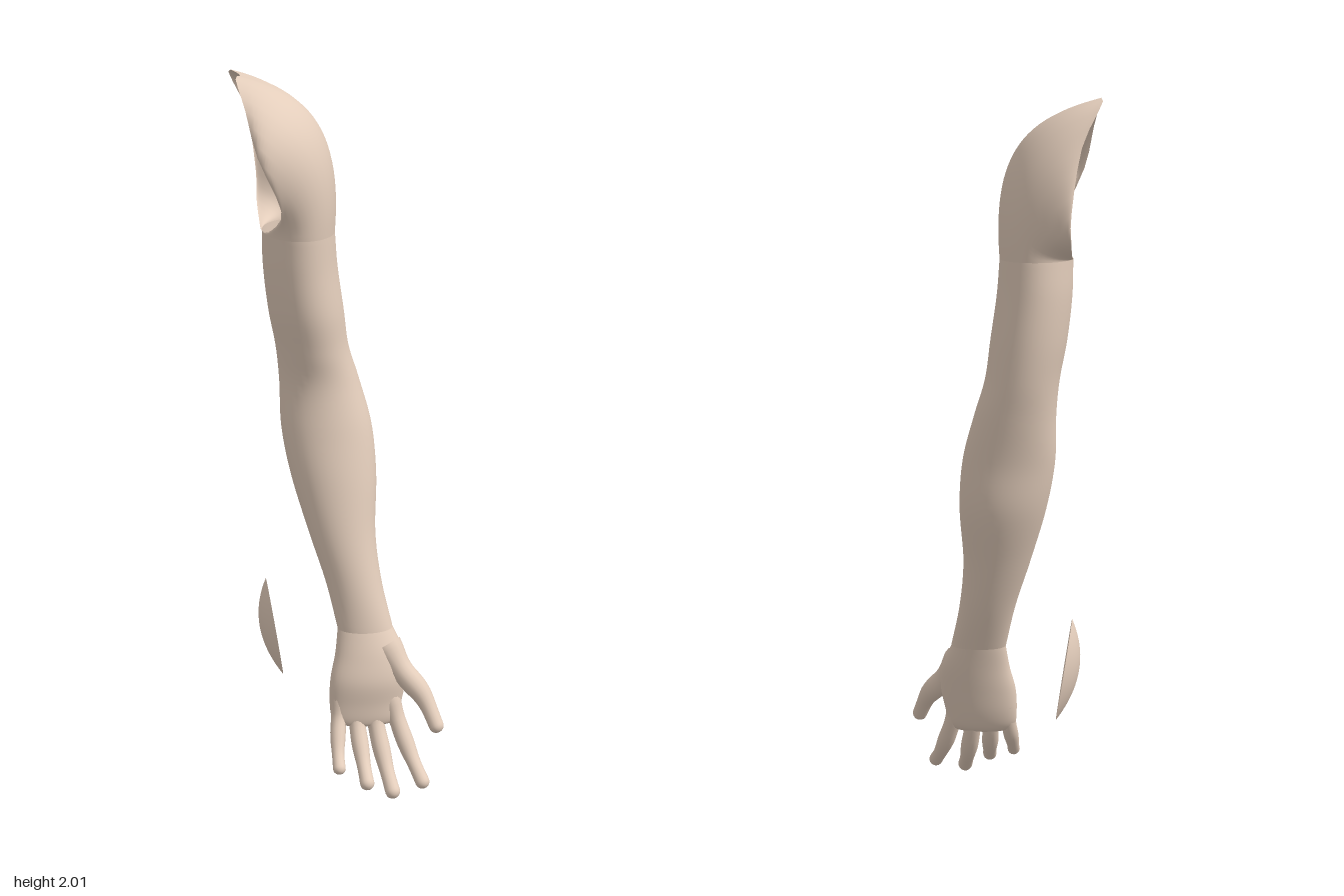
import * as THREE from 'three';

const V = (x, y, z) => new THREE.Vector3(x, y, z);
const skin = new THREE.MeshStandardMaterial({ color: 0xe3cdbb, side: THREE.DoubleSide });
const SIDES = 36;

// Skin a list of closed rings (each an array of Vector3) with smooth normals
function loft(name, rings) {
  const n = rings[0].length, pos = [], idx = [];
  for (const ring of rings) for (const p of ring) pos.push(p.x, p.y, p.z);
  for (let i = 0; i < rings.length - 1; i++) {
    for (let j = 0; j < n; j++) {
      const a = i * n + j, b = i * n + (j + 1) % n;
      idx.push(a, b, a + n, b, b + n, a + n);
    }
  }
  const g = new THREE.BufferGeometry();
  g.setAttribute('position', new THREE.Float32BufferAttribute(pos, 3));
  g.setIndex(idx);
  g.computeVertexNormals();
  const mesh = new THREE.Mesh(g, skin);
  mesh.name = name;
  return mesh;
}

// Horizontal oval between two opposite corners
function oval(lo, hi) {
  return Array.from({ length: SIDES }, (_, j) => {
    const a = j / SIDES * Math.PI * 2;
    return V((lo.x + hi.x) / 2 + Math.cos(a) * (hi.x - lo.x) / 2, lo.y,
      (lo.z + hi.z) / 2 + Math.sin(a) * (hi.z - lo.z) / 2);
  });
}

// Smooth stack of ovals from rows of [y, xMin, xMax, zMin, zMax], top to bottom
function limb(name, rows, steps) {
  const lo = new THREE.CatmullRomCurve3(rows.map(r => V(r[1], r[0], r[3])), false, 'catmullrom');
  const hi = new THREE.CatmullRomCurve3(rows.map(r => V(r[2], r[0], r[4])), false, 'catmullrom');
  return loft(name, Array.from({ length: steps + 1 }, (_, i) =>
    oval(lo.getPoint(i / steps), hi.getPoint(i / steps))));
}

// Tapered, round-tipped finger along a curve
function finger(name, points, r0, r1) {
  const curve = new THREE.CatmullRomCurve3(points.map(p => V(...p)));
  const steps = 28, n = 16, length = curve.getLength();
  const frames = curve.computeFrenetFrames(steps);
  const rings = [];
  for (let i = 0; i <= steps; i++) {
    // rows bunch up toward the tip
    const t = 1 - (1 - i / steps) ** 1.6;
    const k = Math.min(steps, Math.round(t * steps));
    const p = curve.getPointAt(t);
    const toTip = Math.min(1, (1 - t) * length / r1);
    const knuckle = 1 + 0.06 * Math.cos(t * Math.PI * 4);
    const r = (r0 + (r1 - r0) * t) * knuckle * Math.sqrt(1 - (1 - toTip) ** 2);
    rings.push(Array.from({ length: n }, (_, j) => {
      const a = j / n * Math.PI * 2;
      return p.clone().addScaledVector(frames.normals[k], Math.cos(a) * r)
        .addScaledVector(frames.binormals[k], Math.sin(a) * r);
    }));
  }
  return loft(name, rings);
}

// Open shoulder shell: columns rise from the arm and fold over to the cut edge
function shoulder() {
  const edge = new THREE.CatmullRomCurve3([
    [-0.25, 2, -0.12], [-0.268, 2, -0.05], [-0.25, 1.93, 0.04], [-0.225, 1.82, 0.095],
    [-0.16, 1.67, 0.075], [-0.18, 1.6, 0], [-0.2, 1.58, -0.09], [-0.2, 1.59, -0.18],
    [-0.2, 1.63, -0.265], [-0.2, 1.71, -0.285], [-0.225, 1.88, -0.25], [-0.278, 2, -0.2],
  ].map(p => V(...p)), true, 'catmullrom');
  const base = oval(V(-0.2, 1.58, -0.24), V(0, 1.58, 0.065));
  const columns = base.map((p, j) => {
    const a = j / SIDES * Math.PI * 2, c = Math.cos(a), s = Math.sin(a);
    const end = edge.getPoint(j / SIDES);
    const k = Math.max(0, (end.y - 1.58) / 0.42);
    const bulge = s > 0 ? 0.12 : 0.06;
    return new THREE.CubicBezierCurve3(p,
      V(p.x + 0.02 * c * k, p.y + 0.26 * k, p.z + 0.03 * s * k),
      V(end.x + 0.2 * Math.max(c, 0) * k, end.y - 0.05 * k, end.z + bulge * s * k), end);
  });
  const steps = 24;
  return loft('shoulder', Array.from({ length: steps + 1 }, (_, i) =>
    columns.map(col => col.getPoint(1 - i / steps))));
}

// Detached shallow dome beside the forearm, bulging toward -x
function dome() {
  const rings = [];
  for (let i = 0; i <= 10; i++) {
    const r = Math.max(i / 10, 0.001);
    rings.push(Array.from({ length: SIDES }, (_, j) => {
      const a = j / SIDES * Math.PI * 2, u = Math.sin(a) * r, w = Math.cos(a) * r;
      return V(-0.18 - 0.022 * u - 0.043 * (1 - r * r), 0.415 + 0.145 * u, -0.052 + 0.116 * w);
    }));
  }
  return loft('loosePatch', rings.reverse());
}

export function createModel() {
  const model = new THREE.Group();
  model.name = 'arm';

  model.add(shoulder());
  model.add(limb('upperArmAndForearm', [
    [1.58, -0.2, 0, -0.24, 0.065],
    [1.48, -0.198, 0.008, -0.24, 0.06],
    [1.36, -0.185, 0.025, -0.235, 0.052],
    [1.25, -0.165, 0.04, -0.222, 0.03],
    [1.15, -0.156, 0.07, -0.202, 0.015],
    [1.02, -0.153, 0.104, -0.175, 0.03],
    [0.88, -0.128, 0.115, -0.155, 0.055],
    [0.72, -0.082, 0.108, -0.1, 0.08],
    [0.58, -0.038, 0.122, -0.048, 0.098],
    [0.45, -0.008, 0.15, 0.01, 0.112],
  ], 60));

  // Hand
  const hand = new THREE.Group();
  hand.name = 'hand';
  hand.add(limb('palm', [
    [0.45, -0.008, 0.15, 0.01, 0.112],
    [0.38, -0.018, 0.18, 0.03, 0.138],
    [0.31, -0.034, 0.185, 0.05, 0.155],
    [0.24, -0.037, 0.172, 0.07, 0.152],
    [0.195, -0.03, 0.165, 0.088, 0.15],
    [0.175, 0.0, 0.135, 0.105, 0.143],
    [0.17, 0.06, 0.065, 0.12, 0.125],
  ], 32));
  hand.add(finger('littleFinger', [[-0.008, 0.26, 0.108], [-0.014, 0.19, 0.128], [-0.021, 0.12, 0.18], [-0.022, 0.075, 0.235]], 0.025, 0.017));
  hand.add(finger('ringFinger', [[0.035, 0.25, 0.11], [0.04, 0.18, 0.13], [0.048, 0.1, 0.195], [0.054, 0.045, 0.278]], 0.027, 0.019));
  hand.add(finger('middleFinger', [[0.085, 0.25, 0.112], [0.095, 0.175, 0.13], [0.113, 0.08, 0.19], [0.13, 0.01, 0.272]], 0.028, 0.02));
  hand.add(finger('indexFinger', [[0.135, 0.26, 0.112], [0.155, 0.19, 0.13], [0.187, 0.1, 0.18], [0.22, 0.028, 0.256]], 0.028, 0.019));
  hand.add(finger('thumb', [[0.13, 0.4, 0.085], [0.17, 0.335, 0.12], [0.225, 0.27, 0.158], [0.265, 0.18, 0.215]], 0.042, 0.019));
  model.add(hand);

  model.add(dome());
  return model;
}
